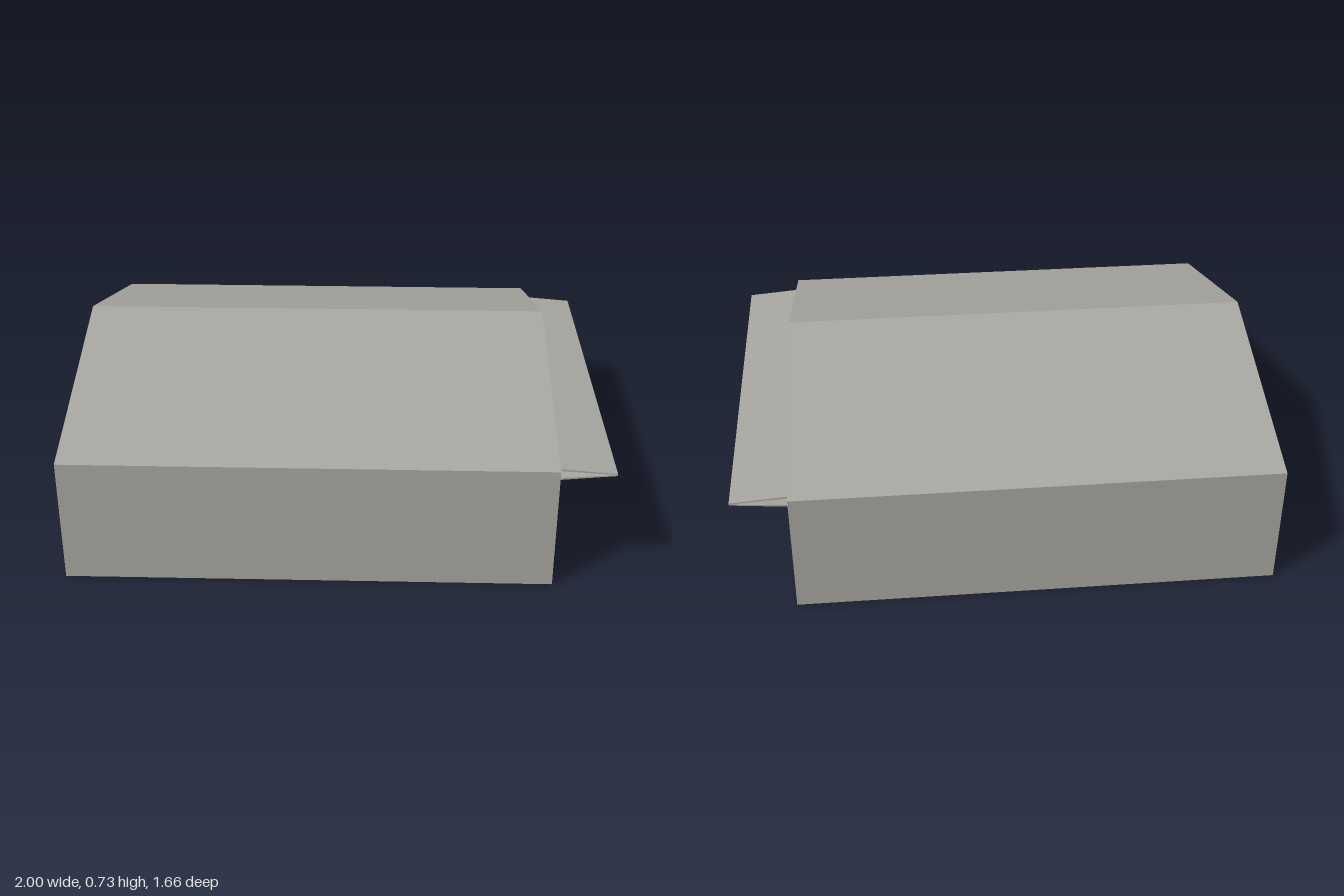
import * as THREE from 'three';

const X0 = -1, X1 = 0.79;          // rear and door end
const W = 0.83, EAVE = 0.475, RIDGE = 0.725, T = 0.008;
const DOOR = { w: 0.775, bottom: 0.03, top: 0.457 };

export function createModel() {
  const model = new THREE.Group();
  const grey = new THREE.MeshStandardMaterial({ color: 0xa6a59f });
  grey.name = 'warm grey';

  const add = (name, geometry) => {
    const mesh = new THREE.Mesh(geometry, grey);
    mesh.name = name;
    model.add(mesh);
    return mesh;
  };

  // Prism running along x, from a [z, y] outline
  const prismZ = (name, points, xa, xb) => {
    const shape = new THREE.Shape(points.map(([z, y]) => new THREE.Vector2(-z, y)));
    const geo = new THREE.ExtrudeGeometry(shape, { depth: xb - xa, bevelEnabled: false });
    geo.rotateY(Math.PI / 2);
    geo.translate(xa, 0, 0);
    return add(name, geo);
  };

  // Gable outline, optionally with the door opening
  const gable = (name, x, depth, open) => {
    const shape = new THREE.Shape();
    shape.moveTo(-W, 0).lineTo(W, 0).lineTo(W, EAVE).lineTo(0, RIDGE).lineTo(-W, EAVE).closePath();
    if (open) {
      const hole = new THREE.Path();
      hole.moveTo(-DOOR.w, DOOR.bottom).lineTo(-DOOR.w, DOOR.top)
        .lineTo(DOOR.w, DOOR.top).lineTo(DOOR.w, DOOR.bottom).closePath();
      shape.holes.push(hole);
    }
    const geo = new THREE.ExtrudeGeometry(shape, { depth, bevelEnabled: false });
    geo.rotateY(Math.PI / 2);
    geo.translate(x, 0, 0);
    add(name, geo);
  };

  gable('rearGableWall', X0, T, false);
  gable('doorGableWall', X1 - 0.03, 0.03, true);

  // Side walls and roof slopes fit between the two gables
  const xa = X0 + T, xb = X1 - 0.03;
  for (const [side, s] of [['front', 1], ['back', -1]]) {
    prismZ(side + 'Wall', [[s * W, 0], [s * W, EAVE], [s * (W - T), EAVE], [s * (W - T), 0]], xa, xb);
    prismZ(side + 'RoofSlope', [[s * W, EAVE], [0, RIDGE], [0, RIDGE - T], [s * W, EAVE - T]], xa, xb);
  }

  // Floor slab, raised slightly inside the walls
  const floor = add('floor', new THREE.BoxGeometry(xb - xa, 0.004, 2 * (W - T)));
  floor.position.set((xa + xb) / 2, DOOR.bottom - 0.002, 0);

  // Folding door: two thin leaves meeting at an outer hinge
  const leaf = (name, points) => {
    const shape = new THREE.Shape(points.map(([x, y]) => new THREE.Vector2(x, y)));
    const geo = new THREE.ExtrudeGeometry(shape, { depth: 2 * DOOR.w, bevelEnabled: false });
    geo.translate(0, 0, -DOOR.w);
    add(name, geo);
  };
  leaf('upperDoorLeaf', [[X1 - 0.01, 0.449], [1, 0.435], [1, 0.439], [X1 - 0.01, 0.457]]);
  leaf('lowerDoorLeaf', [[X1 - 0.01, 0.41], [1, 0.431], [1, 0.435], [X1 - 0.01, 0.418]]);

  return model;
}
